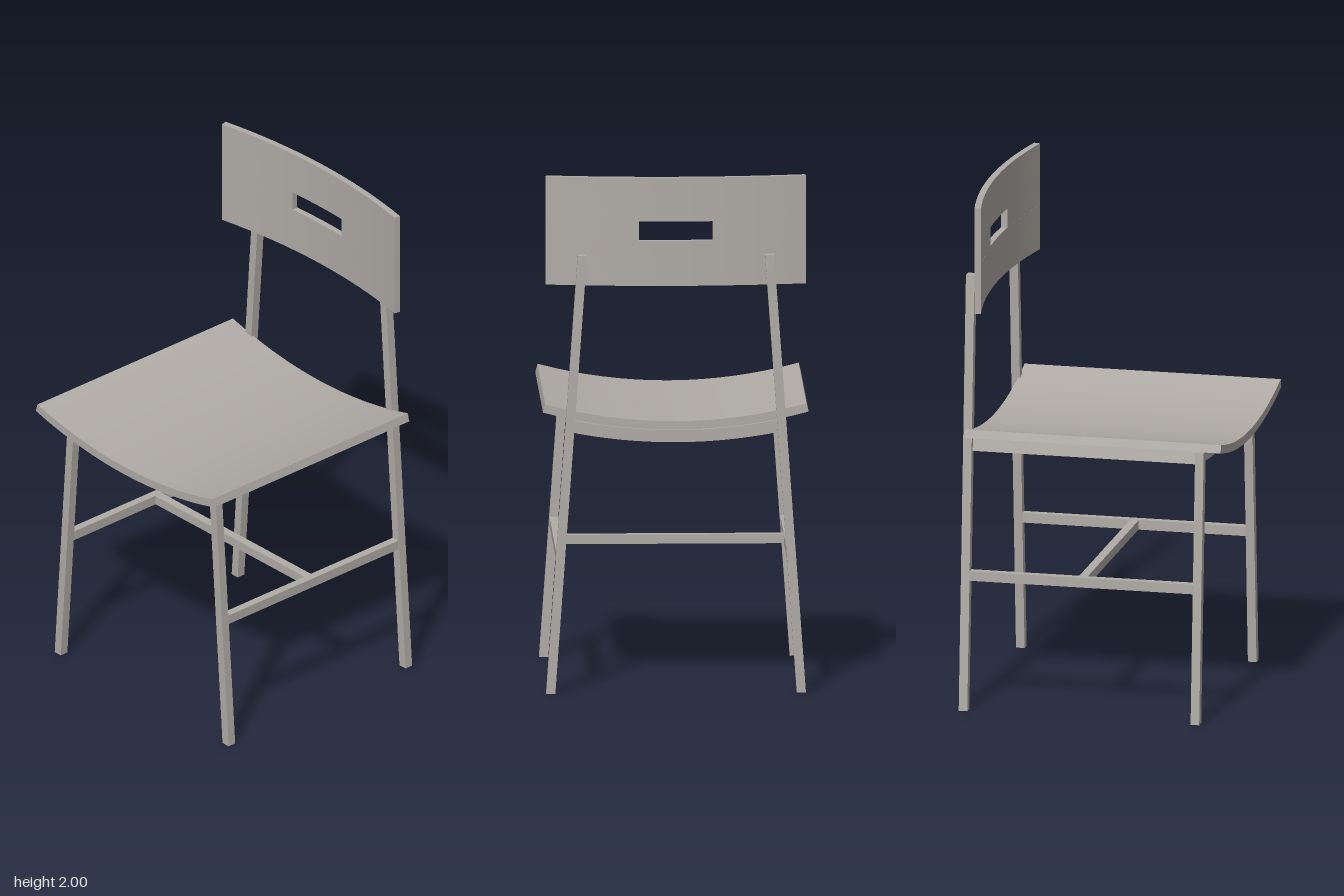
import * as THREE from 'three';
import { toCreasedNormals } from 'three/addons/utils/BufferGeometryUtils.js';

const wood = new THREE.MeshStandardMaterial({ color: 0xb0aba5 });
wood.name = 'greyWood';

const LEG_FOOT_X = 0.481, LEG_SLOPE = 0.0715;
const legX = (y) => LEG_FOOT_X - LEG_SLOPE * y;

function add(parent, name, geometry) {
  const mesh = new THREE.Mesh(geometry, wood);
  mesh.name = name;
  parent.add(mesh);
  return mesh;
}

// Slab with an arc cross-section: lowest point at (0, low), outer radius R,
// thickness t, running from x0 to x1 and extruded along z.
function arcSlab(x0, x1, low, R, t, depth, steps = 16) {
  const a0 = Math.asin(x0 / R), a1 = Math.asin(x1 / R);
  const at = (r, a) => new THREE.Vector2(r * Math.sin(a), low + R - r * Math.cos(a));
  const points = [];
  for (let i = 0; i <= steps; i++) points.push(at(R, a0 + (a1 - a0) * i / steps));
  for (let i = steps; i >= 0; i--) points.push(at(R - t, a0 + (a1 - a0) * i / steps));
  const geometry = new THREE.ExtrudeGeometry(new THREE.Shape(points), { depth, bevelEnabled: false });
  return toCreasedNormals(geometry, 0.5);
}

// Square post leaning inward, with level ends
function leg(side, height, z0, z1) {
  const geometry = new THREE.BoxGeometry(0.035, height, z1 - z0);
  geometry.translate(0, height / 2, (z0 + z1) / 2);
  const p = geometry.attributes.position;
  for (let i = 0; i < p.count; i++) p.setX(i, p.getX(i) + side * legX(p.getY(i)));
  geometry.computeVertexNormals();
  return geometry;
}

function bar(w, h, d, x, y, z) {
  return new THREE.BoxGeometry(w, h, d).translate(x, y, z);
}

export function createModel() {
  const chair = new THREE.Group();
  chair.name = 'chair';

  // Curved seat and the support panel beneath it
  add(chair, 'seat', arcSlab(-0.51, 0.51, 1.02, 1.946, 0.033, 1.01).translate(0, 0, -0.493));
  add(chair, 'seatSupport', arcSlab(-0.41, 0.41, 0.97, 2.05, 0.047, 0.885).translate(0, 0, -0.487));

  // Legs and side stretchers
  for (const [side, label] of [[1, 'left'], [-1, 'right']]) {
    add(chair, label + 'FrontLeg', leg(side, 1.06, 0.396, 0.43));
    add(chair, label + 'BackLeg', leg(side, 1.7, -0.518, -0.484));
    add(chair, label + 'Stretcher', bar(0.032, 0.038, 0.89, side * legX(0.527), 0.527, -0.043));
  }

  // Cross stretcher joining the two side stretchers
  add(chair, 'crossStretcher', bar(0.86, 0.036, 0.034, 0, 0.527, -0.043));

  // Curved backrest, built around its hand slot
  const backrest = new THREE.Group();
  backrest.name = 'backrest';
  const bands = [
    ['backrestTop', -0.5, 0.5, 1.83, 2],
    ['backrestBottom', -0.5, 0.5, 1.58, 1.755],
    ['backrestRight', -0.5, -0.142, 1.755, 1.83],
    ['backrestLeft', 0.142, 0.5, 1.755, 1.83],
  ];
  for (const [name, x0, x1, y0, y1] of bands) {
    const geometry = arcSlab(x0, x1, -0.505, 2.525, 0.025, y1 - y0);
    add(backrest, name, geometry.rotateX(Math.PI / 2).translate(0, y1, 0));
  }
  chair.add(backrest);

  return chair;
}
